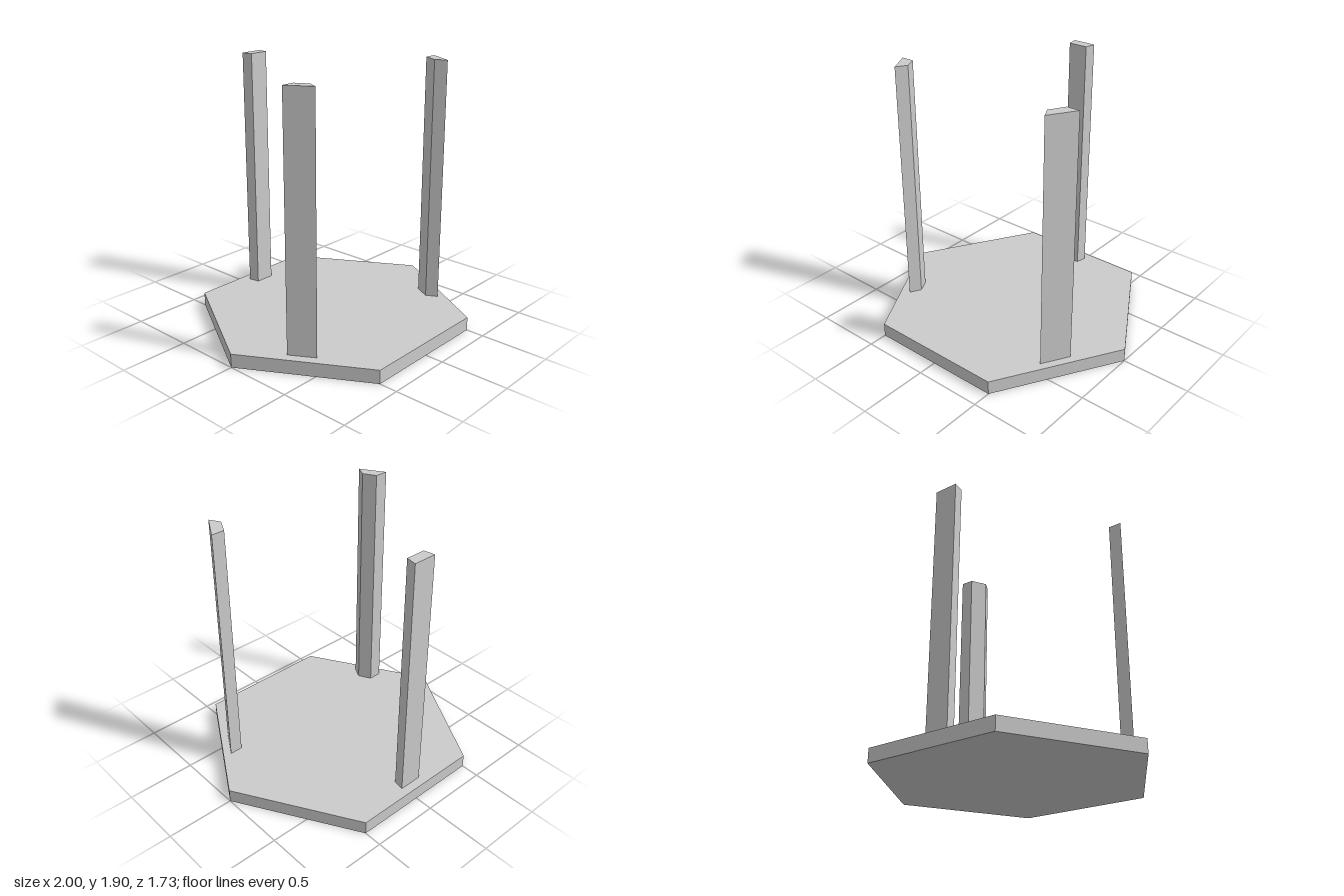
import * as THREE from 'three';

const BASE_HEIGHT = 0.1;
const POST_HEIGHT = 1.8;

// Upright prism from a plan outline of [x, z] corners
function prism(name, outline, bottom, height, material) {
  const shape = new THREE.Shape(outline.map(([x, z]) => new THREE.Vector2(x, -z)));
  const geometry = new THREE.ExtrudeGeometry(shape, { depth: height, bevelEnabled: false });
  geometry.rotateX(-Math.PI / 2);
  const mesh = new THREE.Mesh(geometry, material);
  mesh.name = name;
  mesh.position.y = bottom;
  return mesh;
}

export function createModel() {
  const model = new THREE.Group();
  model.name = 'hexagonalStand';
  const material = new THREE.MeshStandardMaterial({ color: 0xcccccc, flatShading: true });

  // Hexagonal base slab with points on the x axis
  const hexagon = Array.from({ length: 6 }, (_, i) => {
    const a = (i * Math.PI) / 3;
    return [Math.cos(a), Math.sin(a)];
  });
  model.add(prism('base', hexagon, 0, BASE_HEIGHT, material));

  // Trapezoid posts, wide face outward; each differs slightly in plan
  const posts = {
    backPost: [[-0.086, -0.8], [0.086, -0.8], [0.072, -0.72], [-0.072, -0.72]],
    leftPost: [[0.758, 0.306], [0.662, 0.306], [0.602, 0.42], [0.646, 0.5]],
    rightPost: [[-0.758, 0.285], [-0.661, 0.285], [-0.611, 0.378], [-0.654, 0.46]],
  };
  for (const [name, outline] of Object.entries(posts)) {
    model.add(prism(name, outline, BASE_HEIGHT, POST_HEIGHT, material));
  }
  return model;
}
